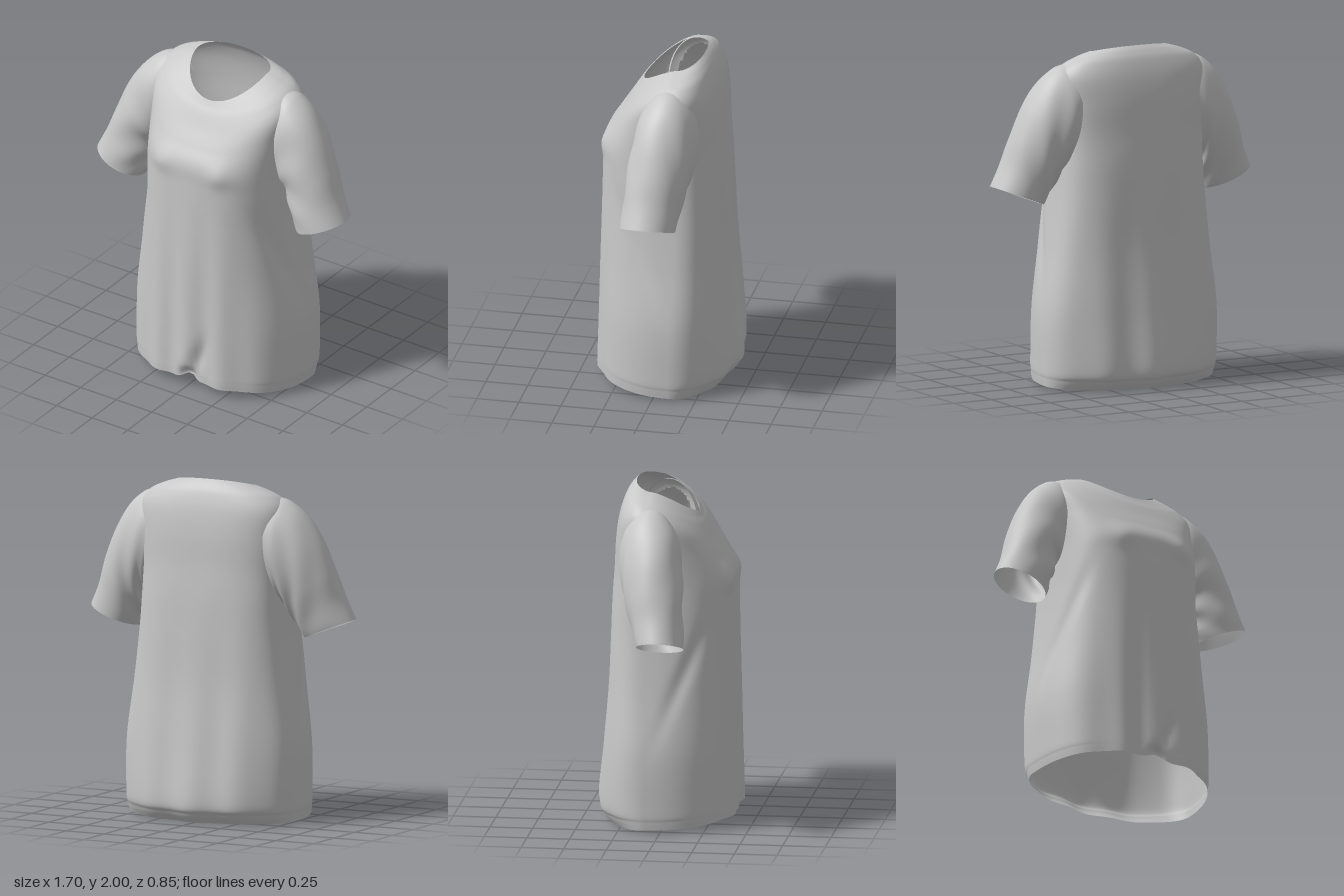
import * as THREE from 'three';

// Smooth interpolation through a short table of rows, t in 0..1
function sampleRows(rows, t) {
  const s = t * (rows.length - 1);
  const i = Math.min(Math.floor(s), rows.length - 2);
  const f = s - i;
  const at = (k) => rows[Math.max(0, Math.min(rows.length - 1, k))];
  return rows[0].map((_, c) => {
    const a = at(i - 1)[c], b = at(i)[c], d = at(i + 1)[c], e = at(i + 2)[c];
    const m0 = (d - a) / 2, m1 = (e - b) / 2;
    const f2 = f * f, f3 = f2 * f;
    return (2 * f3 - 3 * f2 + 1) * b + (f3 - 2 * f2 + f) * m0 + (3 * f2 - 2 * f3) * d + (f3 - f2) * m1;
  });
}

// Open tube of closed rings; point(angle, t) returns [x, y, z]; faces starting in a hole are left out
function loft(around, along, point, flip, inHole = () => false) {
  const pos = [], index = [];
  for (let i = 0; i <= along; i++)
    for (let j = 0; j < around; j++) pos.push(...point((j / around) * Math.PI * 2, i / along));
  for (let i = 0; i < along; i++)
    for (let j = 0; j < around; j++) {
      const k = (j + 1) % around;
      const a = i * around + j, b = i * around + k, c = a + around, d = b + around;
      if (inHole(pos[a * 3], pos[a * 3 + 1], pos[a * 3 + 2])) continue;
      if (flip) index.push(a, b, c, b, d, c);
      else index.push(a, c, b, b, c, d);
    }
  const g = new THREE.BufferGeometry();
  g.setAttribute('position', new THREE.Float32BufferAttribute(pos, 3));
  g.setIndex(index);
  g.computeVertexNormals();
  return g;
}

const bump = (d, r) => Math.exp(-(d * d) / (r * r));

// Body rings, hem to neckline:
// side y, front y, back y, half width, front z, back z, front squareness, back squareness
const bodyRows = [
  [0.015, 0.055, 0.0, 0.545, 0.41, -0.365, 2.4, 1.9],
  [0.06, 0.10, 0.05, 0.55, 0.41, -0.405, 2.4, 1.95],
  [0.13, 0.16, 0.13, 0.555, 0.408, -0.428, 2.4, 2.05],
  [0.45, 0.45, 0.45, 0.55, 0.402, -0.395, 2.4, 2.3],
  [0.8, 0.8, 0.8, 0.5, 0.398, -0.36, 2.5, 2.55],
  [1.1, 1.1, 1.1, 0.465, 0.392, -0.345, 2.6, 2.65],
  [1.3, 1.35, 1.3, 0.45, 0.386, -0.335, 2.7, 2.7],
  [1.45, 1.48, 1.5, 0.445, 0.378, -0.32, 2.7, 2.7],
  [1.66, 1.58, 1.68, 0.455, 0.32, -0.31, 2.6, 2.7],
  [1.825, 1.67, 1.82, 0.465, 0.26, -0.29, 2.4, 2.6],
  [1.9, 1.75, 1.92, 0.42, 0.21, -0.26, 2.2, 2.4],
  [1.943, 1.79, 1.97, 0.335, 0.18, -0.23, 2.1, 2.3],
  [1.968, 1.82, 2.0, 0.25, 0.16, -0.2, 2, 2.2],
];

function bodyPoint(angle, t) {
  const [yS, yF, yB, w, zF, zB, nF, nB] = sampleRows(bodyRows, t);
  const c = Math.cos(angle), s = Math.sin(angle);
  const front = s > 0;
  const e = 2 / (front ? nF : nB);
  let x = w * Math.sign(c) * Math.abs(c) ** e;
  const sz = Math.abs(s) ** e;
  const zMid = -0.09;
  let y = yS + ((front ? yF : yB) - yS) * Math.abs(s) ** (front ? 1.5 : 1.1);
  let z = zMid + ((front ? zF : zB) - zMid) * sz;
  // Hanging folds, fading towards the chest and the sides
  const fade = Math.max(0, 1 - y / 1.4);
  if (front) {
    z += 0.018 * fade * sz * bump(x, 0.36) * Math.cos((x * Math.PI * 2) / 0.23);
    // Bust
    z += 0.014 * (bump(x - 0.2, 0.07) + bump(x + 0.2, 0.07)) * bump(y - 1.45, 0.07);
    // Pinched hem
    const pinch = bump(x - 0.01, 0.05) * sz;
    z -= 0.05 * pinch * bump(y - 0.06, 0.06);
    z -= 0.025 * bump(x - 0.02 - y * 0.25, 0.04) * bump(y - 0.2, 0.12) * sz;
    y += 0.035 * pinch * bump(y - 0.05, 0.08);
  } else {
    z += 0.012 * fade * sz * sz * (1 - Math.cos((x * Math.PI * 2) / 0.3));
  }
  // Slanting fold down each side, from the bust towards the hip
  x *= 1 - 0.035 * bump(z - 0.4 * (y - 0.6), 0.05) * bump(y - 0.95, 0.3);
  return [x + 0.008 * fade, y, z];
}

// Armholes, cut well inside the sleeve seams
const inArmhole = (x, y, z) =>
  Math.abs(x) > 0.37 && ((z + 0.07) / 0.135) ** 2 + ((y - 1.61) / 0.22) ** 2 < 1;

// Sleeve rings, seam to cuff: outer x, outer y, inner x, inner y, front z, back z, bow of the seam
const sleeveRows = [
  [0.385, 1.905, 0.435, 1.34, 0.10, -0.245, 0.02],
  [0.47, 1.883, 0.44, 1.31, 0.12, -0.25, 0.015],
  [0.57, 1.802, 0.45, 1.28, 0.13, -0.24, 0.01],
  [0.66, 1.665, 0.465, 1.25, 0.138, -0.225, 0],
  [0.735, 1.49, 0.485, 1.2, 0.145, -0.205, 0],
  [0.79, 1.33, 0.51, 1.14, 0.155, -0.18, 0],
  [0.85, 1.2, 0.54, 1.08, 0.16, -0.165, 0],
];

function sleevePoint(side, angle, t) {
  const [ox, oy, ix, iy, zF, back, bow] = sampleRows(sleeveRows, t);
  // The right cuff is narrower at the back
  const zB = side < 0 ? back + 0.05 * t * t : back;
  // Soft wrinkles, strongest near the armpit and fading at both ends
  const inner = 0.5 - 0.5 * Math.cos(angle);
  const wrinkle = 1 + Math.sin(t * Math.PI) * (0.008 + 0.04 * inner) * Math.sin(angle * 5 + t * 14);
  const c = Math.cos(angle) * wrinkle, s = Math.sin(angle) * wrinkle;
  return [
    side * ((ox + ix) / 2 + (c * (ox - ix)) / 2 - bow * s * s),
    (oy + iy) / 2 + (c * (oy - iy)) / 2,
    (zF + zB) / 2 + (s * (zF - zB)) / 2,
  ];
}

export function createModel() {
  const group = new THREE.Group();
  group.name = 'tShirt';
  const cloth = new THREE.MeshStandardMaterial({ color: 0xc8c8c8, side: THREE.DoubleSide });
  cloth.name = 'greyCloth';
  const add = (name, geometry) => {
    const mesh = new THREE.Mesh(geometry, cloth);
    mesh.name = name;
    group.add(mesh);
  };

  add('body', loft(180, 130, bodyPoint, false, inArmhole));
  for (const side of [1, -1])
    add(side > 0 ? 'leftSleeve' : 'rightSleeve', loft(72, 50, (a, t) => sleevePoint(side, a, t), side > 0));

  return group;
}
